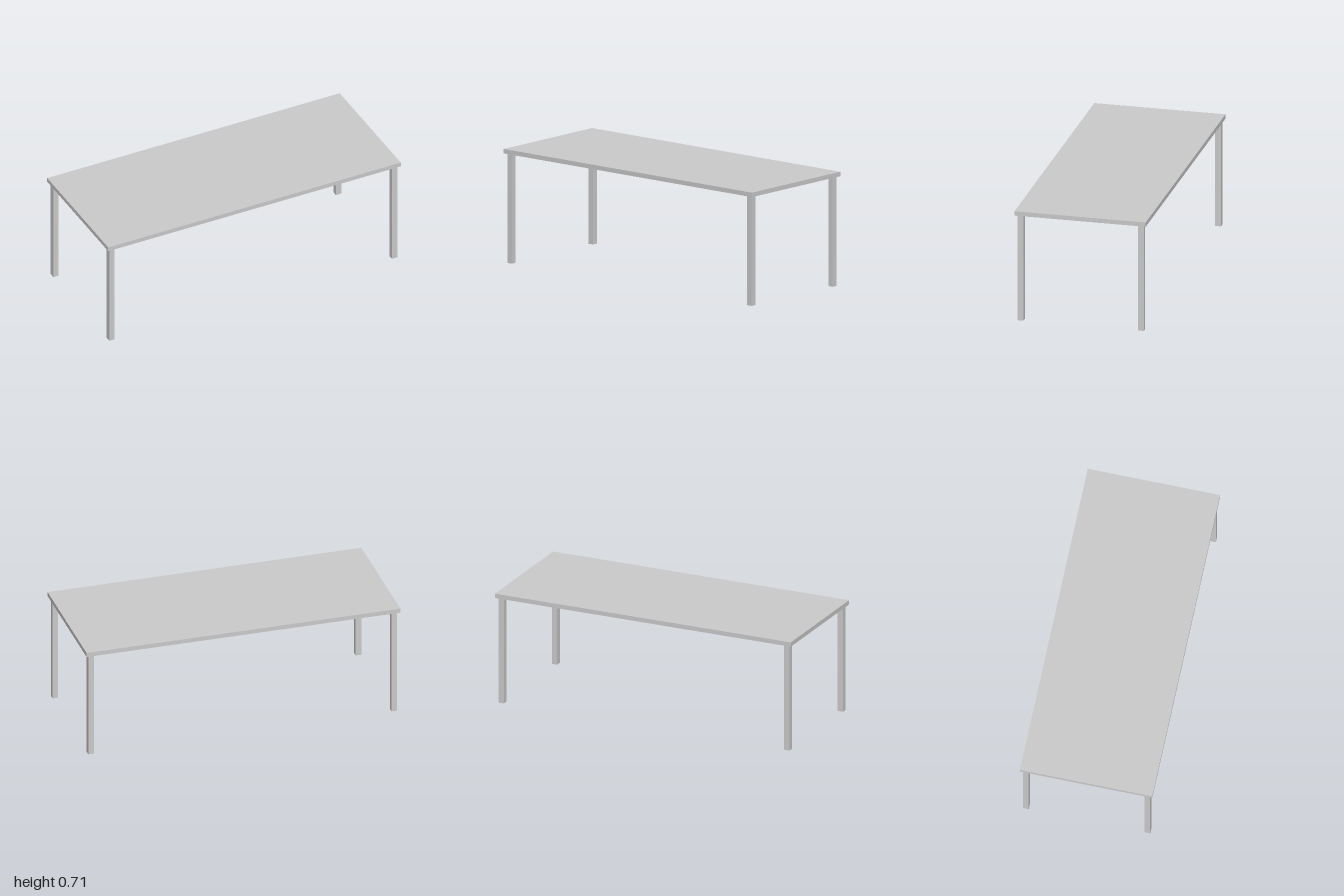
import * as THREE from 'three';

const WIDTH = 2, DEPTH = 0.826, HEIGHT = 0.711;
const TOP_THICKNESS = 0.028;
const LEG = 0.036, INSET = 0.016;

export function createModel() {
  const table = new THREE.Group();
  table.name = 'table';
  const material = new THREE.MeshStandardMaterial({ color: 0xcccccc });

  // Flat slab top
  const top = new THREE.Mesh(new THREE.BoxGeometry(WIDTH, TOP_THICKNESS, DEPTH), material);
  top.name = 'tableTop';
  top.position.y = HEIGHT - TOP_THICKNESS / 2;
  table.add(top);

  // Four square legs, set in slightly from the corners
  const legHeight = HEIGHT - TOP_THICKNESS;
  const legGeometry = new THREE.BoxGeometry(LEG, legHeight, LEG);
  const legX = WIDTH / 2 - INSET - LEG / 2;
  const legZ = DEPTH / 2 - INSET - LEG / 2;
  for (const [sx, side] of [[1, 'Left'], [-1, 'Right']]) {
    for (const [sz, end] of [[1, 'front'], [-1, 'back']]) {
      const leg = new THREE.Mesh(legGeometry, material);
      leg.name = `${end}${side}Leg`;
      leg.position.set(sx * legX, legHeight / 2, sz * legZ);
      table.add(leg);
    }
  }
  return table;
}
